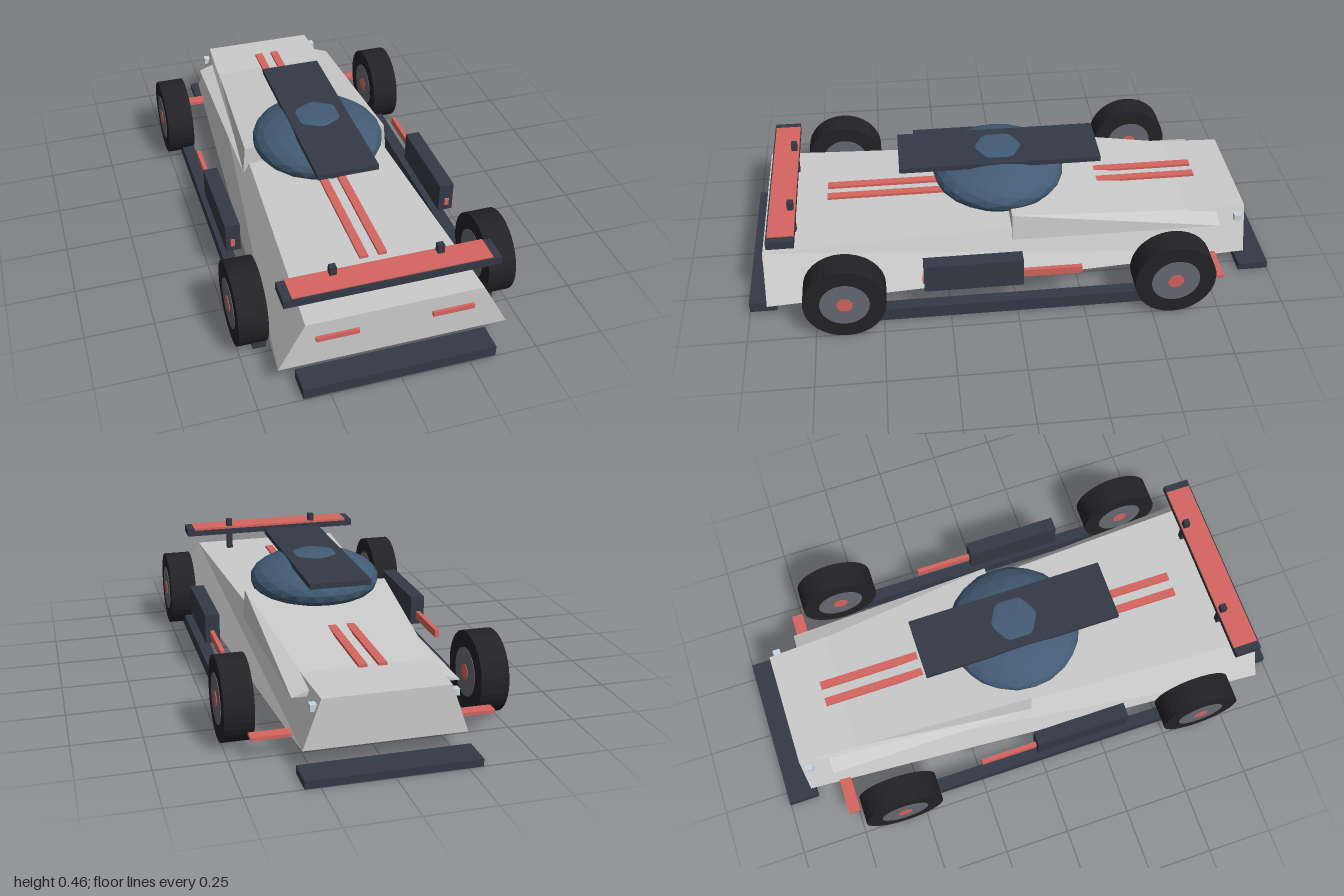
import * as THREE from 'three';

const material = (color) => new THREE.MeshStandardMaterial({ color, flatShading: true });

// Tapered block between two cross-sections: [z, yBottom, yTop, halfBottom, halfTop]
function taperedBlock(front, back) {
  const corners = ([z, y0, y1, b, t]) => [[-b, y0, z], [b, y0, z], [t, y1, z], [-t, y1, z]];
  const f = corners(front), k = corners(back), pos = [];
  const quad = (a, b, c, d) => pos.push(...a, ...b, ...c, ...a, ...c, ...d);
  quad(f[0], f[1], f[2], f[3]);
  quad(k[1], k[0], k[3], k[2]);
  for (let i = 0; i < 4; i++) {
    const j = (i + 1) % 4;
    quad(f[j], f[i], k[i], k[j]);
  }
  const g = new THREE.BufferGeometry();
  g.setAttribute('position', new THREE.Float32BufferAttribute(pos, 3));
  g.computeVertexNormals();
  return g;
}

export function createModel() {
  const car = new THREE.Group();
  car.name = 'raceCar';

  const grey = material(0xcccccc);
  const dark = material(0x333946);
  const red = material(0xd5645f);
  const rubber = material(0x232327);
  const rim = material(0x666a72);
  const glass = material(0x435c75);
  const lamp = material(0xc8d6de);

  const add = (name, geometry, mat, parent = car) => {
    const mesh = new THREE.Mesh(geometry, mat);
    mesh.name = name;
    parent.add(mesh);
    return mesh;
  };

  // Box given by its limits on each axis
  const box = (name, mat, [x0, x1], [y0, y1], [z0, z1]) => {
    const mesh = add(name, new THREE.BoxGeometry(x1 - x0, y1 - y0, z1 - z0), mat);
    mesh.position.set((x0 + x1) / 2, (y0 + y1) / 2, (z0 + z1) / 2);
    return mesh;
  };

  // The same box on both sides
  const pair = (name, mat, [x0, x1], y, z) => {
    box(name + 'Left', mat, [x0, x1], y, z);
    box(name + 'Right', mat, [-x1, -x0], y, z);
  };

  // Main hull and the wedge-shaped cover behind the canopy
  add('body', taperedBlock([0.925, 0.085, 0.262, 0.41, 0.315], [-0.9, 0.085, 0.262, 0.285, 0.222]), grey);
  add('rearCover', taperedBlock([0.005, 0.225, 0.332, 0.293, 0.283], [-0.79, 0.225, 0.25, 0.293, 0.222]), grey);

  // Canopy with a flat panel on top
  const dome = new THREE.IcosahedronGeometry(1, 3).rotateY(Math.PI / 2).scale(0.252, 0.105, 0.252);
  add('canopy', dome, glass).position.set(0, 0.357, 0.03);
  box('roofPanel', dark, [-0.115, 0.115], [0.435, 0.455], [-0.35, 0.41]);

  // Long stripes over the deck
  pair('stripe', red, [0.019, 0.05], [0.285, 0.295], [-0.74, 0.69]);

  // Wing on two posts
  box('wing', dark, [-0.38, 0.38], [0.33, 0.36], [0.8, 0.9]);
  box('wingPanel', red, [-0.35, 0.35], [0.355, 0.364], [0.799, 0.895]);
  pair('wingPost', dark, [0.178, 0.202], [0.255, 0.396], [0.805, 0.828]);

  // Low bumpers at both ends
  box('frontBumper', dark, [-0.345, 0.345], [0.006, 0.047], [0.9, 1]);
  box('rearBumper', dark, [-0.303, 0.303], [0.003, 0.031], [-1, -0.885]);

  // Lights
  pair('frontLight', red, [0.13, 0.28], [0.187, 0.204], [0.915, 0.936]);
  pair('rearLamp', lamp, [0.225, 0.255], [0.213, 0.237], [-0.885, -0.857]);
  pair('rearFin', red, [0.26, 0.43], [0.083, 0.095], [-0.785, -0.74]);

  // Side pods, accents and skirts
  pair('sidePod', dark, [0.39, 0.445], [0.135, 0.25], [-0.02, 0.345]);
  pair('sideAccent', red, [0.412, 0.428], [0.158, 0.188], [-0.24, 0.35]);
  pair('sideSkirt', dark, [0.402, 0.449], [0.012, 0.064], [-0.6, 0.735]);

  // Wheels: tyre, rim and hub nested on one axle
  const disc = (r, width) => new THREE.CylinderGeometry(r, r, width, 32).rotateZ(Math.PI / 2);
  for (const [end, z] of [['front', 0.635], ['rear', -0.577]]) {
    for (const side of [1, -1]) {
      const wheel = new THREE.Group();
      wheel.name = end + (side > 0 ? 'Left' : 'Right') + 'Wheel';
      wheel.position.set(side * 0.453, 0.154, z);
      add('tyre', disc(0.151, 0.104), rubber, wheel);
      add('rim', disc(0.09, 0.108), rim, wheel);
      add('hub', disc(0.029, 0.112), red, wheel);
      car.add(wheel);
    }
  }

  return car;
}
